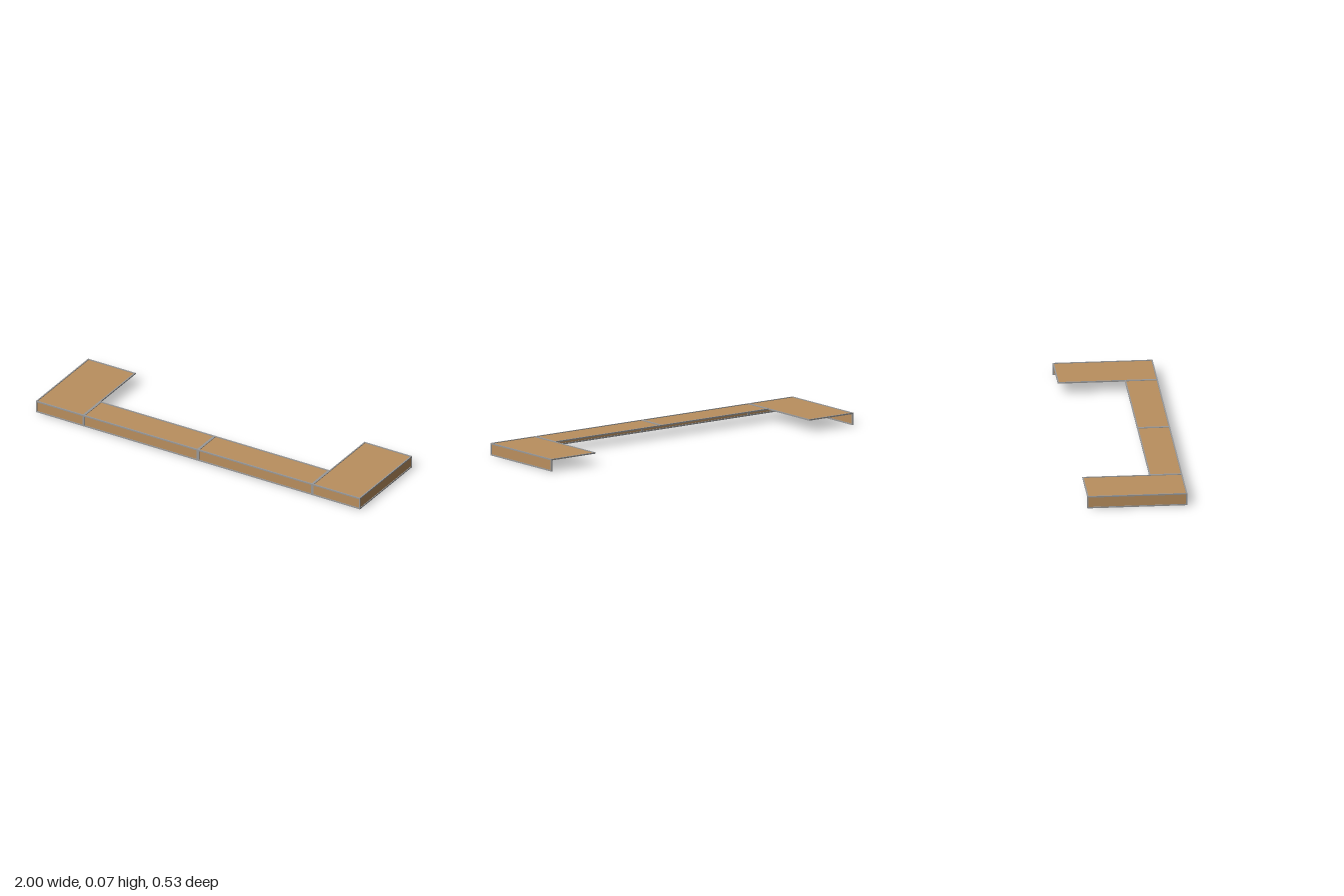
import * as THREE from 'three';

const T = 0.007;             // edge trim thickness
const H = 0.067;             // overall height
const FRONT = 0.265, BACK = -0.265, INNER = 0.09, SPLIT = 0.706;

export function createModel() {
  const wood = new THREE.MeshStandardMaterial({ color: 0xba8f5e, side: THREE.DoubleSide });
  wood.name = 'wood';
  const trim = new THREE.MeshStandardMaterial({ color: 0x999999 });
  trim.name = 'greyTrim';

  const root = new THREE.Group();
  root.name = 'shelfTop';

  // Axis-aligned square bar between two points, covering both corners
  function bar(group, a, b) {
    const size = a.map((v, i) => Math.abs(b[i] - v) + T);
    const mesh = new THREE.Mesh(new THREE.BoxGeometry(...size), trim);
    mesh.position.set(...a.map((v, i) => (v + b[i]) / 2));
    mesh.name = 'edgeTrim';
    group.add(mesh);
  }

  // Thin sheet spanning two opposite corners; normal points along the given axis
  function sheet(group, name, a, b, axis) {
    const d = a.map((v, i) => Math.abs(b[i] - v));
    const geo = axis === 'y' ? new THREE.PlaneGeometry(d[0], d[2]).rotateX(-Math.PI / 2)
      : axis === 'x' ? new THREE.PlaneGeometry(d[2], d[1]).rotateY(Math.PI / 2)
      : new THREE.PlaneGeometry(d[0], d[1]);
    const mesh = new THREE.Mesh(geo, wood);
    mesh.position.set(...a.map((v, i) => (v + b[i]) / 2));
    mesh.name = name;
    group.add(mesh);
  }

  // One section: top sheet, front skirt, and an optional outer side skirt
  function section(name, side, xNear, xFar, zBack, hasEnd) {
    const g = new THREE.Group();
    g.name = name;
    const h = T / 2;
    const xa = side * (xNear + h), xb = side * (xFar - h);
    const zf = FRONT - h, zb = zBack + h, yt = H - h, yb = h;
    sheet(g, 'topPanel', [xa, yt, zb], [xb, yt, zf], 'y');
    sheet(g, 'frontSkirt', [xa, yb, zf], [xb, yt, zf], 'z');

    // Top outline and front skirt trim
    bar(g, [xa, yt, zb], [xb, yt, zb]);
    bar(g, [xa, yt, zf], [xb, yt, zf]);
    bar(g, [xa, yb, zf], [xb, yb, zf]);
    for (const x of [xa, xb]) {
      bar(g, [x, yt, zb], [x, yt, zf]);
      bar(g, [x, yb, zf], [x, yt, zf]);
    }
    // Side skirt on the end sections
    if (hasEnd) {
      sheet(g, 'sideSkirt', [xb, yb, zb], [xb, yt, zf], 'x');
      bar(g, [xb, yb, zb], [xb, yb, zf]);
      bar(g, [xb, yb, zb], [xb, yt, zb]);
    }
    root.add(g);
  }

  for (const side of [1, -1]) {
    const label = side > 0 ? 'left' : 'right';
    section(label + 'MiddleSection', side, 0, SPLIT, INNER, false);
    section(label + 'EndSection', side, SPLIT, 1, BACK, true);
  }
  return root;
}
